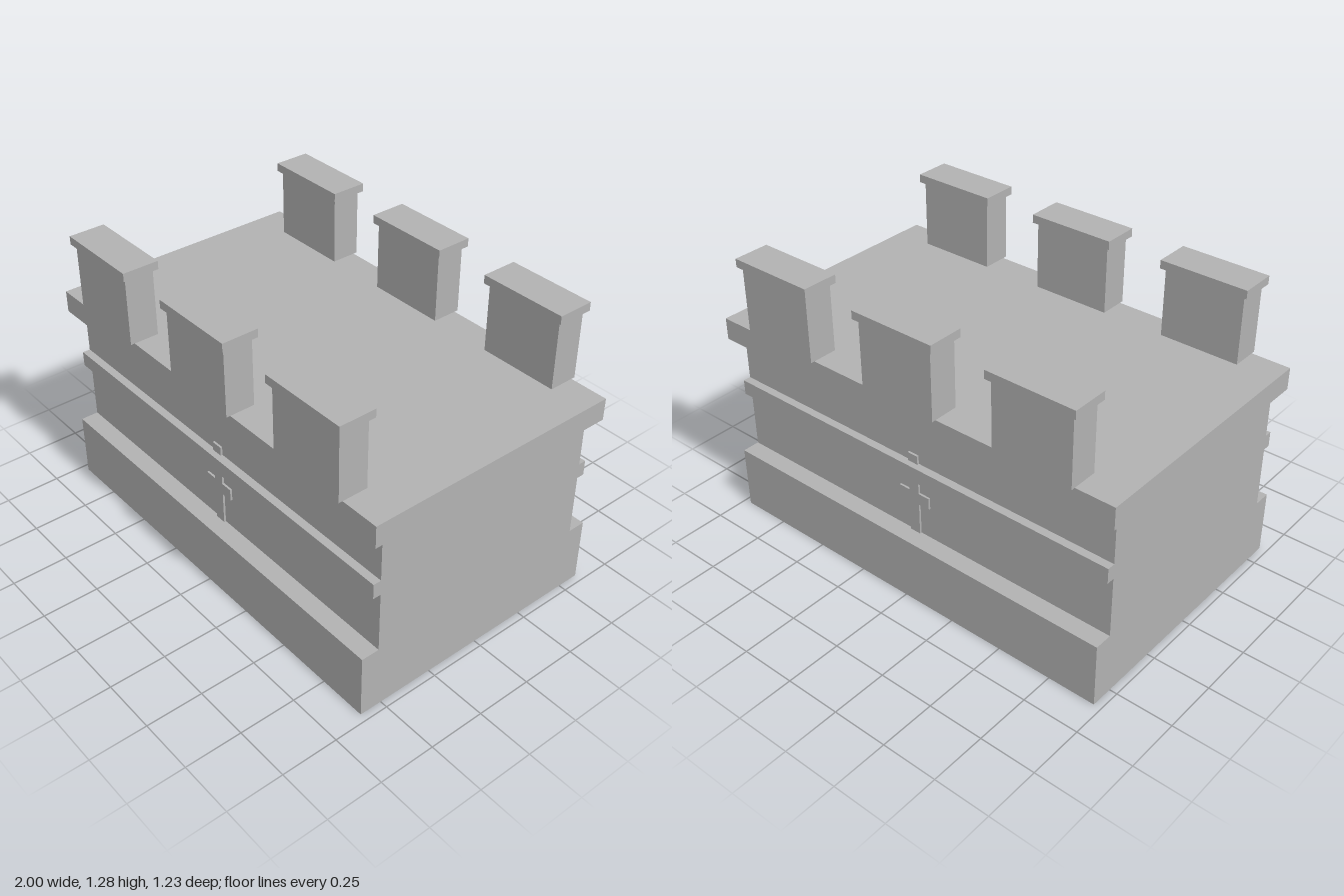
import * as THREE from 'three';

export function createModel() {
  const model = new THREE.Group();
  model.name = 'battlementBlock';
  const stone = new THREE.MeshStandardMaterial({ color: 0xb2b2b2 });
  stone.name = 'greyStone';

  const add = (parent, name, geometry, x = 0, y = 0, z = 0) => {
    const mesh = new THREE.Mesh(geometry, stone);
    mesh.name = name;
    mesh.position.set(x, y, z);
    parent.add(mesh);
    return mesh;
  };

  // Walls: stepped plinth and string course as one profile run along x
  const half = [
    [0.6, 0], [0.6, 0.29], [0.52, 0.29], [0.52, 0.565],
    [0.555, 0.565], [0.555, 0.633], [0.52, 0.633], [0.52, 0.84],
  ];
  const outline = [...half, ...half.map(([z, y]) => [-z, y]).reverse()];
  const profile = new THREE.Shape(outline.map(([z, y]) => new THREE.Vector2(z, y)));
  const walls = new THREE.ExtrudeGeometry(profile, { depth: 1.932, bevelEnabled: false });
  walls.translate(0, 0, -0.966).rotateY(Math.PI / 2);
  add(model, 'walls', walls);

  // Overhanging parapet slab
  add(model, 'parapetSlab', new THREE.BoxGeometry(2, 0.098, 1.165), 0, 0.889, 0);

  // Cross-shaped arrow loop, centred on x
  const cross = new THREE.Shape([
    [-0.025, 0.29], [0.025, 0.29], [0.025, 0.437], [0.078, 0.437],
    [0.078, 0.49], [0.025, 0.49], [0.025, 0.672], [-0.025, 0.672],
    [-0.025, 0.49], [-0.078, 0.49], [-0.078, 0.437], [-0.025, 0.437],
  ].map(([x, y]) => new THREE.Vector2(x, y)));
  const crossGeometry = new THREE.ExtrudeGeometry(cross, { depth: 0.009, bevelEnabled: false });

  const merlonGeometry = new THREE.BoxGeometry(0.36, 0.307, 0.13);
  const capGeometry = new THREE.BoxGeometry(0.396, 0.037, 0.161);

  // Front and back: arrow loop and three capped merlons each
  for (const side of [1, -1]) {
    const label = side > 0 ? 'front' : 'back';
    const loop = add(model, label + 'ArrowLoop', crossGeometry, 0, 0, side * 0.52);
    if (side < 0) loop.rotation.y = Math.PI;
    for (const x of [-0.646, 0, 0.646]) {
      const merlon = new THREE.Group();
      merlon.name = label + 'Merlon';
      merlon.position.set(x, 0, side * 0.535);
      add(merlon, 'merlonBlock', merlonGeometry, 0, 1.0915, 0);
      add(merlon, 'merlonCap', capGeometry, 0, 1.2615, 0);
      model.add(merlon);
    }
  }
  return model;
}
